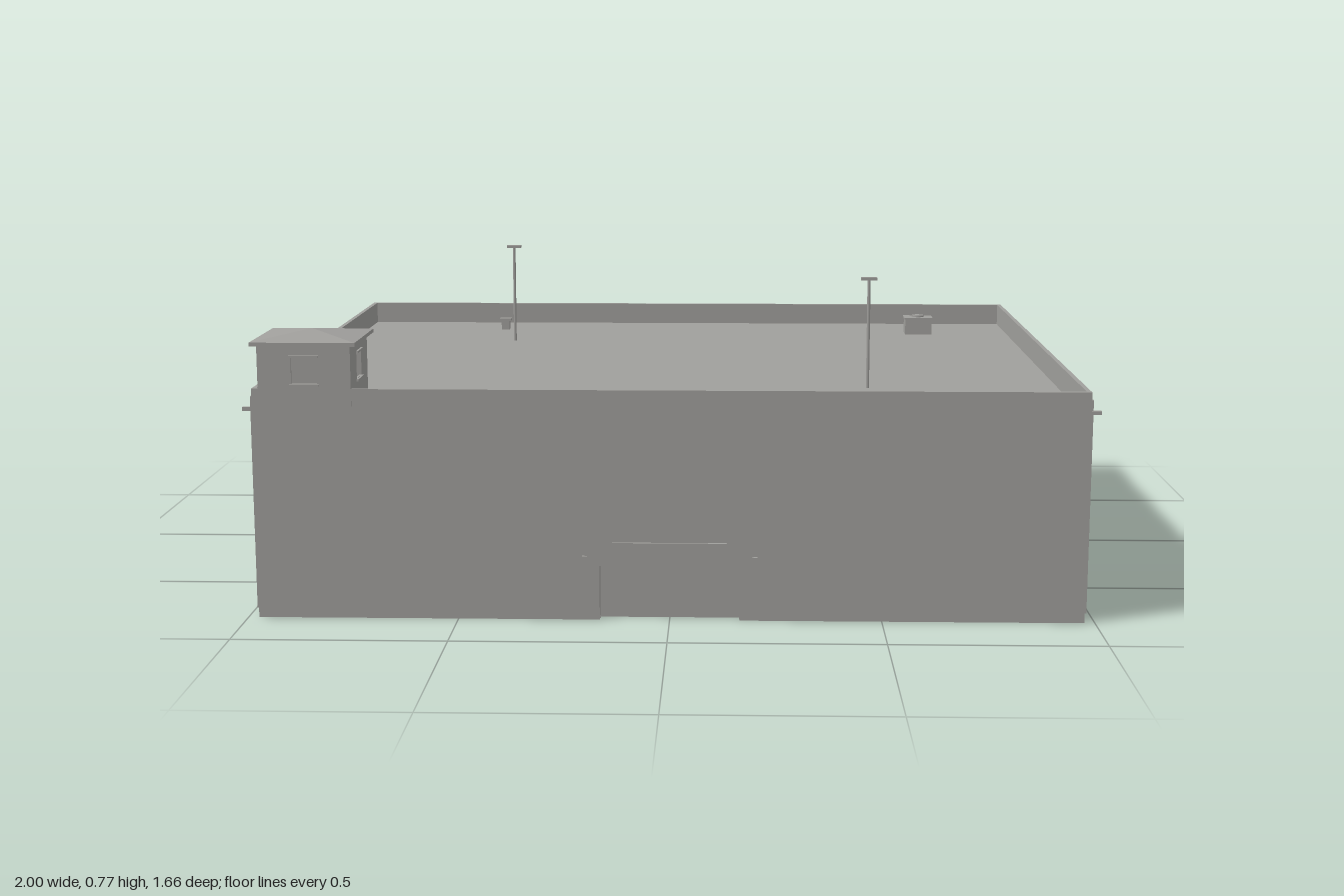
import * as THREE from 'three';

const concrete = new THREE.MeshStandardMaterial({ color: 0xa09f9c });
concrete.name = 'concreteGrey';

export function createModel() {
  const model = new THREE.Group();
  model.name = 'walledBuilding';
  const X = 0.975, ZB = -0.81, ZF = 0.815, H = 0.55, ROOF = 0.49, T = 0.011;

  const add = (name, geo, parent = model) => {
    const mesh = new THREE.Mesh(geo, concrete);
    mesh.name = name;
    parent.add(mesh);
    return mesh;
  };
  const box = (name, w, h, d, x, y, z, parent) => {
    const mesh = add(name, new THREE.BoxGeometry(w, h, d), parent);
    mesh.position.set(x, y, z);
    return mesh;
  };
  const rod = (name, r, h, x, y, z, parent) => {
    const mesh = add(name, new THREE.CylinderGeometry(r, r, h, 8), parent);
    mesh.position.set(x, y, z);
    return mesh;
  };
  const outline = (pts) => new THREE.Shape(pts.map(([x, y]) => new THREE.Vector2(x, y)));
  const rect = (x0, x1, y0, y1) => outline([[x0, y0], [x1, y0], [x1, y1], [x0, y1]]);
  const extrude = (shape, depth) => new THREE.ExtrudeGeometry(shape, { depth, bevelEnabled: false });

  // Wall in the xy plane, open at the bottom between x0 and x1 for a doorway
  const doorWall = (name, x0, x1, top, z) => {
    const shape = outline([[-X, 0], [x0, 0], [x0, top], [x1, top], [x1, 0], [X, 0], [X, H], [-X, H]]);
    add(name, extrude(shape, T)).position.z = z;
  };
  // Shallow box behind a doorway, with its panel set inward
  const doorPocket = (name, x0, x1, top, z, inward) => {
    const g = new THREE.Group();
    g.name = name;
    model.add(g);
    const cx = (x0 + x1) / 2, w = x1 - x0, d = 0.016, t = 0.003;
    const zc = z + inward * d / 2;
    box('doorPanel', w, top, t, cx, top / 2, z + inward * d, g);
    for (const x of [x0, x1]) box('doorJamb', t, top, d, x, top / 2, zc, g);
    box('doorHead', w, t, d, cx, top, zc, g);
  };

  // Outer walls rising past the roof as a parapet
  doorWall('frontWall', -0.165, 0.165, 0.13, ZF - T);
  doorWall('backWall', 0.755, 0.82, 0.12, ZB);
  for (const s of [-1, 1]) {
    box('sideWall', T, H, ZF - ZB - 2 * T, s * (X - T / 2), H / 2, (ZF + ZB) / 2);
  }
  doorPocket('frontDoor', -0.165, 0.165, 0.13, ZF - T, -1);
  doorPocket('backDoor', 0.755, 0.82, 0.12, ZB + T, 1);

  // Roof deck, notched at the corner under the tower
  const deck = outline([[-X + T, -ZB - T], [-X + T, -0.61], [-0.75, -0.61],
    [-0.75, -ZF + T], [X - T, -ZF + T], [X - T, -ZB - T]]);
  const roof = add('roofDeck', extrude(deck, 0.006));
  roof.rotation.x = -Math.PI / 2;
  roof.position.y = ROOF - 0.006;

  // Corner watch tower with windows toward +z and +x
  const tower = new THREE.Group();
  tower.name = 'watchTower';
  tower.position.set(-0.85, 0, 0.708);
  model.add(tower);
  const R = 0.109, base = 0.484, eave = 0.652;
  for (let i = 0; i < 4; i++) {
    const side = new THREE.Group();
    side.name = 'towerSide';
    side.rotation.y = i * Math.PI / 2;
    tower.add(side);
    const shape = rect(-R, R, base, eave);
    if (i < 2) {
      shape.holes.push(rect(-0.03, 0.03, 0.562, 0.623));
      box('windowSill', 0.07, 0.005, 0.008, 0, 0.559, R + 0.001, side);
      box('windowLintel', 0.07, 0.005, 0.008, 0, 0.626, R + 0.001, side);
    }
    add('towerWall', extrude(shape, 0.006), side).position.z = R - 0.006;
  }
  box('towerEaves', 0.246, 0.009, 0.246, 0, 0.656, 0, tower);
  const cap = new THREE.ConeGeometry(0.123 * Math.SQRT2, 0.018, 4).toNonIndexed();
  cap.computeVertexNormals();
  cap.rotateY(Math.PI / 4);
  add('towerRoof', cap, tower).position.y = 0.6695;

  // Roof masts
  for (const [x, z] of [[-0.49, -0.405], [0.485, 0.408]]) {
    rod('mast', 0.004, 0.28, x, ROOF + 0.138, z);
    box('mastHead', 0.04, 0.007, 0.02, x, 0.766, z);
  }

  // Rooftop plant
  box('ventilationUnit', 0.078, 0.045, 0.055, 0.7, ROOF + 0.0225, -0.592);
  box('ventilationLid', 0.084, 0.005, 0.06, 0.7, ROOF + 0.0475, -0.592);
  rod('ventilationFan', 0.018, 0.006, 0.7, ROOF + 0.052, -0.592);
  box('ventBase', 0.024, 0.026, 0.022, -0.545, ROOF + 0.013, -0.65);
  box('ventCap', 0.034, 0.007, 0.03, -0.545, ROOF + 0.03, -0.65);

  // Corner conduits and floodlights
  for (const s of [-1, 1]) {
    box('sideConduit', 0.006, 0.51, 0.008, s * (X + 0.003), 0.275, 0.8);
    box('sideFloodlight', 0.025, 0.009, 0.012, s * (X + 0.0125), 0.5, 0.8);
    box('backConduit', 0.008, 0.51, 0.006, s * 0.96, 0.275, ZB - 0.003);
    box('backFloodlight', 0.012, 0.009, 0.022, s * 0.96, 0.5, ZB - 0.011);
  }

  // Small wall lamps
  for (const z of [0.757, 0.25, -0.24]) box('wallLamp', 0.008, 0.018, 0.008, X + 0.004, 0.16, z);
  for (const z of [-0.73, -0.24, 0.25]) box('wallLamp', 0.008, 0.018, 0.008, -X - 0.004, 0.16, z);
  for (const x of [-0.2, 0.2]) box('frontLamp', 0.012, 0.02, 0.008, x, 0.145, ZF + 0.004);
  box('backLamp', 0.012, 0.02, 0.008, 0.83, 0.138, ZB - 0.004);

  // Blank sign boards and the meter with its riser
  box('frontSignBoard', 0.27, 0.037, 0.006, 0, 0.169, ZF + 0.003);
  box('sideSignBoard', 0.006, 0.04, 0.22, X + 0.003, 0.482, 0);
  box('meterBox', 0.018, 0.03, 0.007, 0.908, 0.068, ZB - 0.0035);
  box('meterRiser', 0.005, 0.39, 0.004, 0.912, 0.27, ZB - 0.002);

  return model;
}
